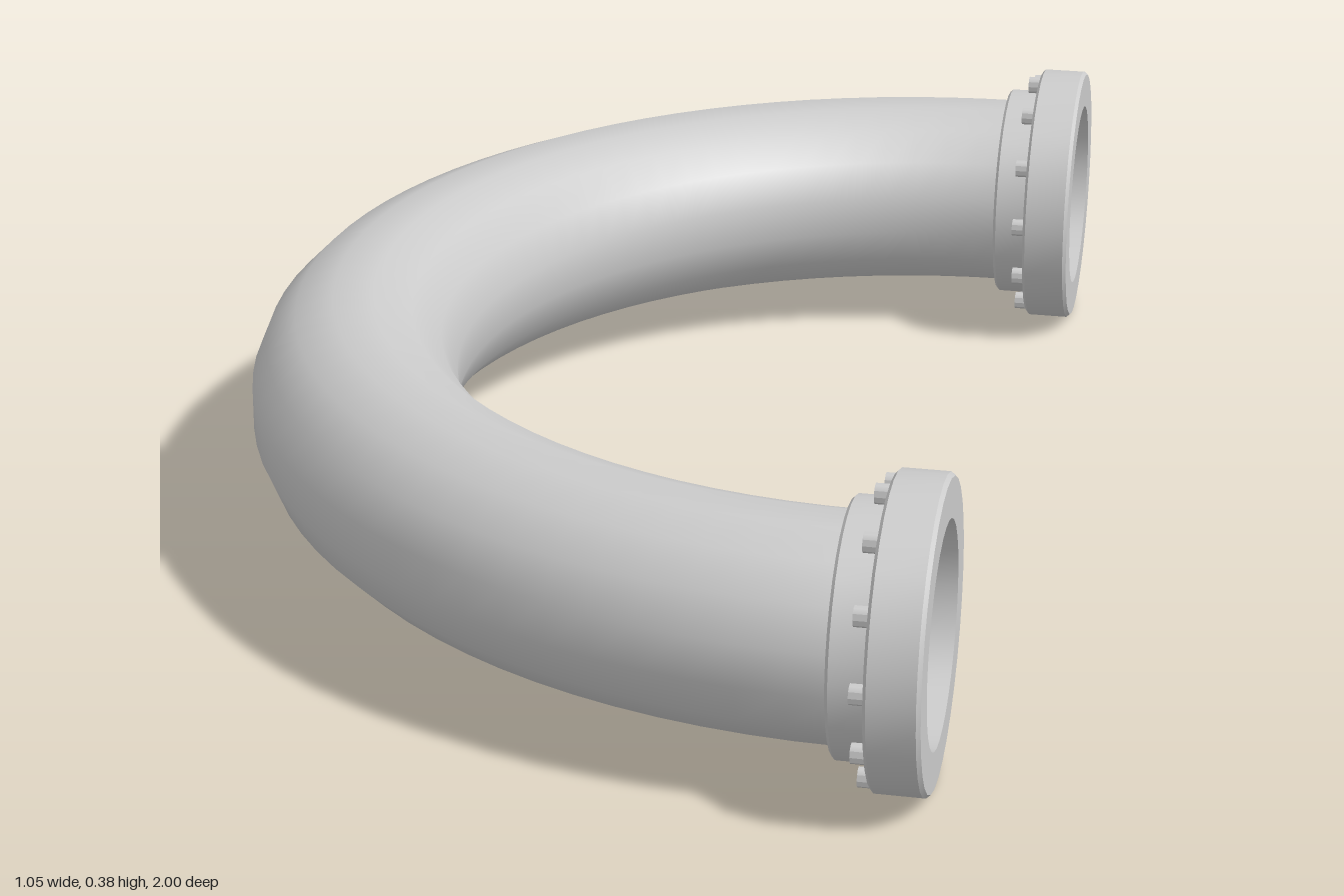
import * as THREE from 'three';
import { toCreasedNormals } from 'three/addons/utils/BufferGeometryUtils.js';
import { ParametricGeometry } from 'three/addons/geometries/ParametricGeometry.js';

const CENTRE_Y = 0.1925;   // height of the pipe axis
const BEND_X = 0.42;       // centre of the half-circle bend
const BEND_R = 0.8075;     // radius of the bend

const material = new THREE.MeshStandardMaterial({ color: 0xcccccc, side: THREE.DoubleSide });

function addMesh(parent, name, geometry) {
  const mesh = new THREE.Mesh(geometry, material);
  mesh.name = name;
  parent.add(mesh);
  return mesh;
}

// Half-circle pipe wall of a given tube radius, 16-sided with flats on top and sides
function bendWall(radius) {
  const sides = 16;
  return new ParametricGeometry((u, v, p) => {
    const a = (u + 0.5 / sides) * Math.PI * 2;
    const b = Math.PI / 2 + v * Math.PI;
    const r = BEND_R + radius * Math.cos(a);
    p.set(BEND_X + r * Math.cos(b), CENTRE_Y + radius * Math.sin(a), r * Math.sin(b));
  }, sides, 48);
}

// Collar and stepped flange ring turned around the pipe axis (+x)
function flangeRing() {
  const profile = [
    [0.122, 0.408], [0.154, 0.408], [0.158, 0.412], [0.158, 0.457],
    [0.188, 0.457], [0.1925, 0.461], [0.1925, 0.519], [0.188, 0.524],
    [0.138, 0.524], [0.138, 0.46], [0.122, 0.46], [0.122, 0.408],
  ].map(([r, x]) => new THREE.Vector2(r, x));
  const ring = new THREE.LatheGeometry(profile, 32).rotateZ(-Math.PI / 2);
  return toCreasedNormals(ring, 0.5);
}

function createFlange(name, z) {
  const flange = new THREE.Group();
  flange.name = name;
  addMesh(flange, 'flangeRing', flangeRing());

  // Circle of bolt heads behind the flange
  const bolt = toCreasedNormals(new THREE.CylinderGeometry(0.0125, 0.0125, 0.02, 10).rotateZ(Math.PI / 2), 0.8);
  for (let i = 0; i < 12; i++) {
    const a = (i / 12) * Math.PI * 2;
    addMesh(flange, 'bolt', bolt).position.set(0.45, 0.174 * Math.sin(a), 0.174 * Math.cos(a));
  }
  flange.position.set(0, CENTRE_Y, z);
  return flange;
}

export function createModel() {
  const model = new THREE.Group();
  model.name = 'pipeBend';

  addMesh(model, 'pipeOuterWall', bendWall(0.1415));
  addMesh(model, 'pipeInnerWall', bendWall(0.124));

  // A flange on each open end
  model.add(createFlange('frontFlange', BEND_R), createFlange('backFlange', -BEND_R));
  return model;
}
